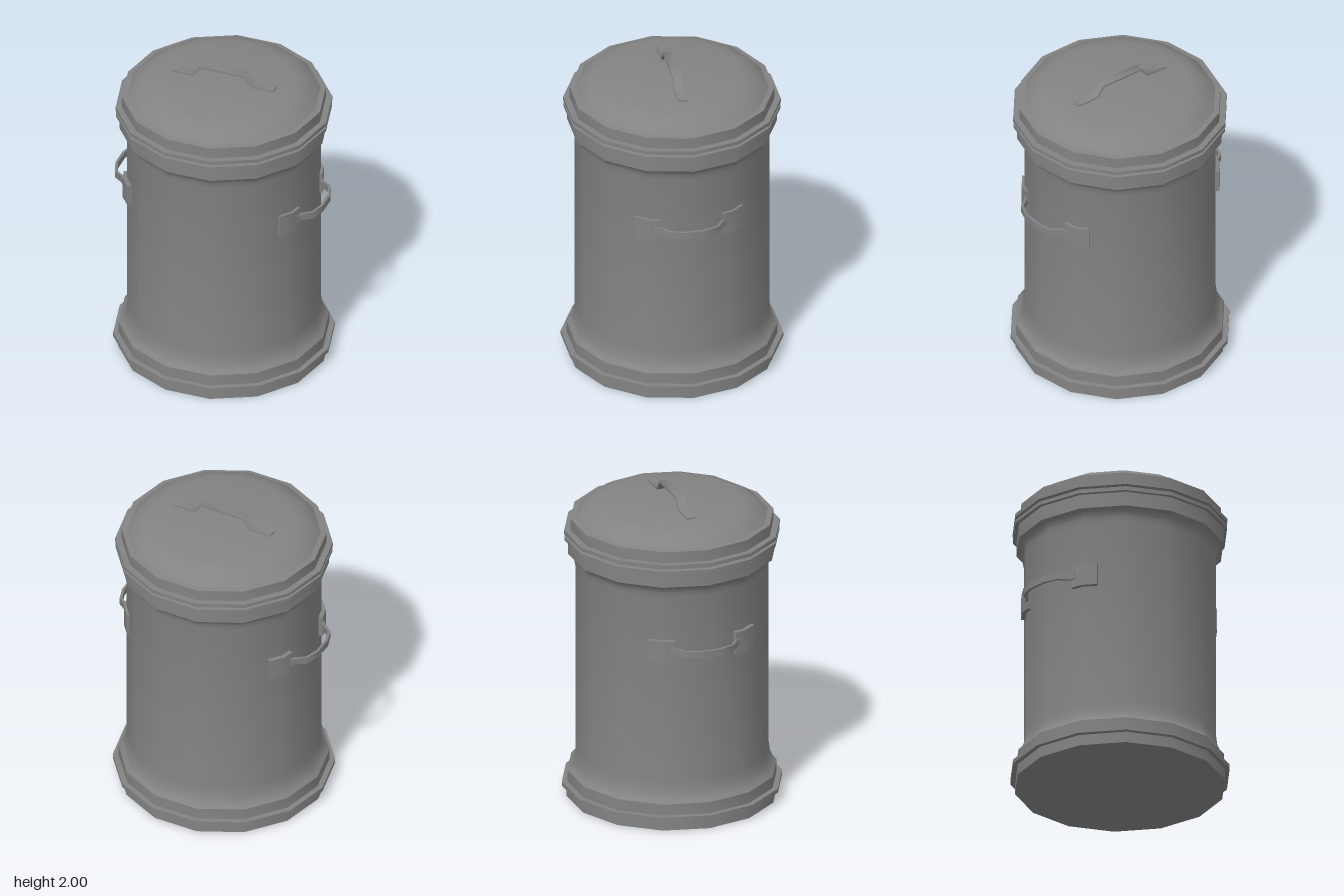
import * as THREE from 'three';
import { toCreasedNormals } from 'three/addons/utils/BufferGeometryUtils.js';

const SIDES = 14;
const material = new THREE.MeshStandardMaterial({ color: 0x838383 });

function addMesh(parent, name, geometry, crease) {
  const mesh = new THREE.Mesh(toCreasedNormals(geometry, crease), material);
  mesh.name = name;
  parent.add(mesh);
}

// Fourteen-sided turned part with a corner on the x axis; profile runs upward
function turned(profile) {
  const points = profile.map(([r, y]) => new THREE.Vector2(r, y));
  return new THREE.LatheGeometry(points, SIDES, Math.PI / 2);
}

// Flat strip following an open path, thickened to the left and extruded to a width
function strip(path, thickness, width) {
  const pts = path.map(([x, y]) => new THREE.Vector2(x, y));
  const offset = pts.map((p, i) => {
    const a = pts[Math.max(i - 1, 0)], b = pts[Math.min(i + 1, pts.length - 1)];
    const before = (i ? p.clone().sub(a) : b.clone().sub(p)).normalize();
    const after = (i < pts.length - 1 ? b.clone().sub(p) : p.clone().sub(a)).normalize();
    const normal = new THREE.Vector2(-before.y - after.y, before.x + after.x).normalize();
    const miter = normal.dot(new THREE.Vector2(-before.y, before.x));
    return p.clone().addScaledVector(normal, thickness / miter);
  });
  const shape = new THREE.Shape([...pts, ...offset.reverse()]);
  return new THREE.ExtrudeGeometry(shape, { depth: width, bevelEnabled: false })
    .translate(0, 0, -width / 2);
}

// Strip lying in plan (x, z), with its width standing up around height y
const uprightStrip = (path, thickness, width, y) =>
  strip(path, thickness, width).rotateX(-Math.PI / 2).translate(0, y, 0);

// Carrying handle: two bent wall plates joined by a bowed bar
function sideHandle(name, plateThickness, barShift) {
  const handle = new THREE.Group();
  handle.name = name;
  const plate = [[0.553, 0.193], [0.537, 0.258], [0.478, 0.332]];
  const mirrored = plate.map(([x, z]) => [x, -z]);
  for (const path of [[...plate].reverse(), mirrored]) {
    addMesh(handle, 'handlePlate', uprightStrip(path, plateThickness, 0.144, 1.168), 1);
  }
  const bar = [[0.55, 0.22], [0.565, 0.19], [0.628, 0.145], [0.656, 0.06]]
    .map(([x, z]) => [x + barShift, z]);
  const barPath = [...bar, ...bar.map(([x, z]) => [x, -z]).reverse()];
  addMesh(handle, 'handleBar', uprightStrip(barPath, 0.016, 0.045, 1.17), 1);
  return handle;
}

export function createModel() {
  const bin = new THREE.Group();
  bin.name = 'bin';

  // Can with base band, flared ends and rolled rims
  addMesh(bin, 'can', turned([
    [0, 0], [0.652, 0], [0.652, 0.07], [0.682, 0.07], [0.682, 0.097], [0.648, 0.097],
    [0.648, 0.17], [0.622, 0.197], [0.605, 0.24], [0.597, 0.3],
    [0.597, 1.52], [0.605, 1.56], [0.62, 1.588], [0.643, 1.605],
    [0.643, 1.697], [0.666, 1.697], [0.666, 1.72], [0.635, 1.722], [0, 1.722],
  ]), 0.5);

  // Domed lid with projecting rim
  const lid = new THREE.Group();
  lid.name = 'lid';
  bin.add(lid);
  addMesh(lid, 'lidDome', turned([
    [0, 1.722], [0.635, 1.722], [0.635, 1.738], [0.667, 1.738], [0.667, 1.762], [0.628, 1.762],
    [0.628, 1.834], [0.594, 1.838], [0.555, 1.875], [0.5, 1.908], [0.43, 1.925], [0, 1.926],
  ]), 0.5);

  // Raised strap handle on the lid
  const strap = [[-0.335, 1.924], [-0.19, 1.924], [-0.14, 1.988]];
  const strapPath = [...strap, ...strap.map(([x, y]) => [-x, y]).reverse()];
  addMesh(lid, 'lidHandle', strip(strapPath, 0.012, 0.056), 1);

  // Side handles
  const left = sideHandle('leftHandle', 0.018, 0);
  const right = sideHandle('rightHandle', 0.028, 0.015);
  right.rotation.y = Math.PI;
  bin.add(left, right);

  return bin;
}
